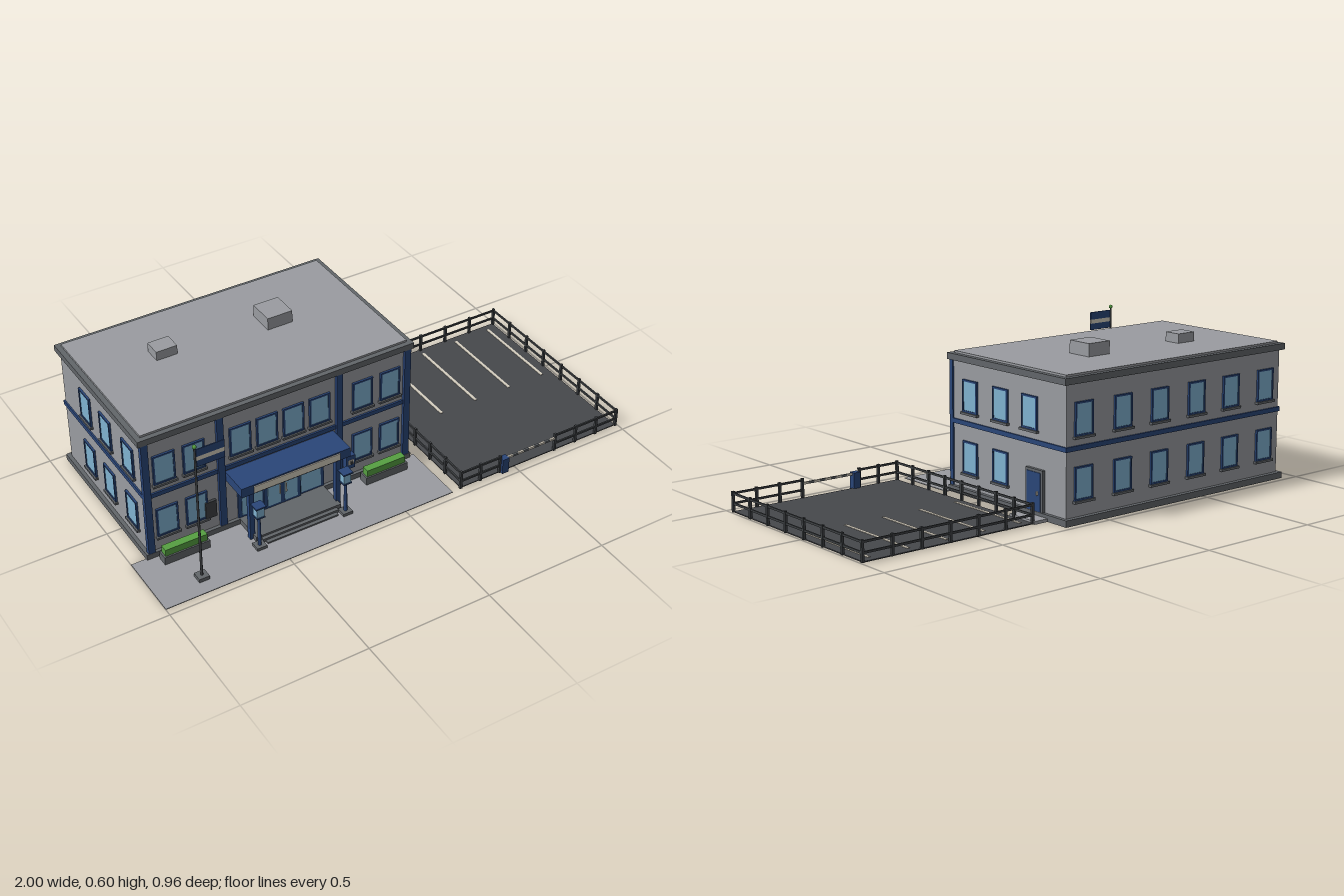
import * as THREE from 'three';

const mat = (name, color) => {
  const m = new THREE.MeshStandardMaterial({ color });
  m.name = name;
  return m;
};

export function createModel() {
  const wall = mat('wall grey', 0x9a9ca1);
  const trim = mat('trim grey', 0x62666a);
  const blue = mat('dark blue', 0x2a4679);
  const glass = mat('window blue', 0x80b3d1);
  const asphalt = mat('asphalt', 0x46484c);
  const iron = mat('iron grey', 0x3d4043);
  const green = mat('leaf green', 0x56a042);
  const cream = mat('cream', 0xd6cfc0);

  const model = new THREE.Group();
  model.name = 'officeBuilding';
  const add = (parent, name, geo, m, x = 0, y = 0, z = 0) => {
    const mesh = new THREE.Mesh(geo, m);
    mesh.name = name;
    mesh.position.set(x, y, z);
    parent.add(mesh);
    return mesh;
  };
  // Box given by its extents on each axis
  const box = (parent, name, m, x0, x1, y0, y1, z0, z1) =>
    add(parent, name, new THREE.BoxGeometry(x1 - x0, y1 - y0, z1 - z0), m,
      (x0 + x1) / 2, (y0 + y1) / 2, (z0 + z1) / 2);
  const rod = (parent, name, m, r0, r1, y0, y1, x, z, n = 12) =>
    add(parent, name, new THREE.CylinderGeometry(r1, r0, y1 - y0, n), m, x, (y0 + y1) / 2, z);
  const group = (name, parent = model) => {
    const g = new THREE.Group();
    g.name = name;
    parent.add(g);
    return g;
  };

  // Main block
  const b = group('building');
  box(b, 'plinth', trim, -0.94, 0.19, 0, 0.025, -0.477, 0.21);
  box(b, 'walls', wall, -0.925, 0.175, 0.025, 0.515, -0.459, 0.197);
  box(b, 'floorBand', blue, -0.931, 0.181, 0.27, 0.288, -0.465, 0.204);
  box(b, 'cornice', trim, -0.942, 0.192, 0.515, 0.54, -0.472, 0.21);
  box(b, 'roof', wall, -0.922, 0.172, 0.54, 0.548, -0.452, 0.19);
  box(b, 'roofUnit', wall, -0.67, -0.585, 0.548, 0.585, -0.245, -0.175);
  box(b, 'roofUnit', wall, -0.23, -0.125, 0.548, 0.598, -0.24, -0.133);
  for (const x of [-0.918, -0.6225, -0.1275, 0.168])
    box(b, 'pilaster', blue, x - 0.0135, x + 0.0135, 0.025, 0.515, 0.19, 0.209);

  // Windows: frame with an opening, pane and sill, in the plane of a facade
  const W = 0.087, H = 0.125;
  const rect = (S, w, h) => {
    const s = new S();
    s.moveTo(-w / 2, -h / 2).lineTo(w / 2, -h / 2).lineTo(w / 2, h / 2).lineTo(-w / 2, h / 2).closePath();
    return s;
  };
  const frameShape = rect(THREE.Shape, W, H);
  frameShape.holes.push(rect(THREE.Path, W - 0.014, H - 0.014));
  const frameGeo = new THREE.ExtrudeGeometry(frameShape, { depth: 0.008, bevelEnabled: false });
  const paneGeo = new THREE.BoxGeometry(W - 0.012, H - 0.012, 0.004);
  const sillGeo = new THREE.BoxGeometry(W + 0.01, 0.009, 0.014);
  const facade = (name, x, z, turn, lower, upper) => {
    const f = group(name);
    f.position.set(x, 0, z);
    f.rotation.y = turn;
    [[lower, 0.148], [upper, 0.385]].forEach(([list, y]) => list.forEach((u) => {
      const w = group('window', f);
      w.position.set(u, y, 0);
      add(w, 'windowFrame', frameGeo, blue);
      add(w, 'windowPane', paneGeo, glass, 0, 0, 0.003);
      add(w, 'windowSill', sillGeo, trim, 0, -H / 2 - 0.0045, 0.007);
    }));
  };
  const ends = [-0.845, -0.727, -0.025, 0.095];
  facade('frontWindows', 0, 0.197, 0, ends, [...ends, -0.54, -0.43, -0.32, -0.21]);
  const back = [-0.095, 0.095, 0.28, 0.47, 0.655, 0.845];
  facade('backWindows', 0, -0.459, Math.PI, back, back);
  facade('leftWindows', 0.175, 0, Math.PI / 2, [-0.087, 0.093], [-0.087, 0.093, 0.26]);
  const side = [0.087, -0.093, -0.26];
  facade('rightWindows', -0.925, 0, -Math.PI / 2, side, side);

  // Side door
  const d = group('sideDoor');
  box(d, 'sideDoorFrame', trim, 0.17, 0.188, 0.025, 0.182, -0.344, -0.249);
  box(d, 'sideDoorLeaf', blue, 0.18, 0.191, 0.027, 0.172, -0.334, -0.259);
  box(d, 'sideDoorHandle', cream, 0.19, 0.197, 0.088, 0.102, -0.323, -0.317);
  box(d, 'sideDoorStep', wall, 0.18, 0.25, 0, 0.012, -0.375, -0.232);

  // Forecourt and entrance steps
  box(model, 'forecourt', wall, -1, 0.21, 0, 0.003, 0.2, 0.47);
  const e = group('entrance');
  const cx = -0.3775;
  [[0.18, 0.025, 0.33], [0.16, 0.017, 0.345], [0.15, 0.009, 0.36]].forEach(([hw, y, z]) =>
    box(e, 'step', trim, cx - hw, cx + hw, 0, y, 0.2, z));

  // Glazed front with double doors
  box(e, 'entranceFrame', blue, -0.56, -0.195, 0.025, 0.215, 0.19, 0.203);
  for (const [x0, x1] of [[-0.545, -0.46], [-0.295, -0.21]])
    box(e, 'sideGlass', glass, x0, x1, 0.035, 0.17, 0.2, 0.206);
  box(e, 'transomGlass', glass, -0.545, -0.21, 0.184, 0.205, 0.2, 0.206);
  box(e, 'doorFrame', blue, -0.455, -0.3, 0.025, 0.176, 0.2, 0.21);
  for (const s of [-1, 1]) {
    const x = cx + s * 0.036;
    box(e, 'doorGlass', glass, x - 0.027, x + 0.027, 0.036, 0.166, 0.206, 0.213);
    box(e, 'doorHandle', cream, cx + s * 0.013 - 0.002, cx + s * 0.013 + 0.002, 0.08, 0.12, 0.212, 0.219);
  }

  // Canopy on columns, with a lamp post before each column
  box(e, 'canopy', blue, -0.605, -0.15, 0.222, 0.262, 0.197, 0.318);
  box(e, 'canopyPanel', cream, -0.555, -0.195, 0.227, 0.256, 0.316, 0.322);
  for (const x of [-0.56, -0.195]) {
    box(e, 'canopyColumn', blue, x - 0.01, x + 0.01, 0.003, 0.222, 0.287, 0.307);
    const l = group('lampPost', e);
    box(l, 'lampBase', trim, x - 0.02, x + 0.02, 0.003, 0.015, 0.337, 0.377);
    rod(l, 'lampStem', blue, 0.007, 0.006, 0.015, 0.15, x, 0.357);
    box(l, 'lampFoot', blue, x - 0.017, x + 0.017, 0.147, 0.153, 0.34, 0.374);
    box(l, 'lampGlass', glass, x - 0.015, x + 0.015, 0.153, 0.194, 0.342, 0.372);
    box(l, 'lampCap', blue, x - 0.021, x + 0.021, 0.194, 0.2, 0.336, 0.378);
  }

  // Wall board and call box
  box(model, 'noticeBoard', iron, -0.695, -0.65, 0.083, 0.157, 0.195, 0.208);
  const c = group('callBox');
  box(c, 'callBoxBody', blue, -0.106, -0.068, 0.073, 0.132, 0.195, 0.222);
  box(c, 'callBoxPanel', cream, -0.098, -0.076, 0.093, 0.113, 0.22, 0.225);
  box(c, 'callBoxButton', iron, -0.092, -0.082, 0.098, 0.108, 0.223, 0.231);

  // Planters
  for (const x of [-0.805, 0.0475]) {
    const p = group('planter');
    box(p, 'planterBox', trim, x - 0.092, x + 0.092, 0.003, 0.036, 0.223, 0.266);
    box(p, 'hedge', green, x - 0.085, x + 0.085, 0.036, 0.064, 0.228, 0.26);
  }

  // Flagpole
  const f = group('flagpole');
  const fx = -0.816, fz = 0.393;
  box(f, 'poleBase', trim, fx - 0.021, fx + 0.021, 0.003, 0.018, fz - 0.021, fz + 0.021);
  rod(f, 'pole', iron, 0.005, 0.004, 0.018, 0.59, fx, fz);
  add(f, 'poleBall', new THREE.SphereGeometry(0.008, 12, 8), green, fx, 0.593, fz);
  [[0.505, 0.532, blue], [0.532, 0.549, cream], [0.549, 0.58, blue]].forEach(([y0, y1, m]) =>
    box(f, 'flagStripe', m, fx + 0.005, -0.702, y0, y1, fz - 0.002, fz + 0.002));

  // Car park with bay lines
  const lot = group('carPark');
  const X0 = 0.25, X1 = 0.99, Z0 = -0.362, Z1 = 0.463;
  box(lot, 'carParkSurface', asphalt, X0, X1, 0, 0.004, Z0 - 0.003, Z1);
  for (let i = 0; i < 5; i++) {
    const x = 0.285 + i * 0.165;
    box(lot, 'bayLine', cream, x - 0.006, x + 0.006, 0.003, 0.006, -0.335, 0.045);
  }

  // Fence runs: evenly spaced posts and two rails
  const fence = (name, xa, za, xb, zb, n) => {
    const g = group(name, lot);
    for (let i = 0; i <= n; i++) {
      const x = xa + (xb - xa) * i / n, z = za + (zb - za) * i / n;
      box(g, 'fencePost', iron, x - 0.005, x + 0.005, 0, 0.08, z - 0.005, z + 0.005);
    }
    for (const y of [0.034, 0.072])
      box(g, 'fenceRail', iron, Math.min(xa, xb) - 0.003, Math.max(xa, xb) + 0.003,
        y - 0.004, y + 0.004, Math.min(za, zb) - 0.003, Math.max(za, zb) + 0.003);
  };
  fence('backFence', X0, Z0, X1, Z0, 6);
  fence('leftFence', X1, Z0, X1, Z1, 7);
  fence('rightFence', X0, Z0, X0, Z1, 8);
  fence('frontFenceNear', X0, Z1, 0.43, Z1, 2);
  fence('frontFenceFar', 0.69, Z1, X1, Z1, 3);

  // Striped barrier
  const g = group('barrier', lot);
  box(g, 'barrierBox', blue, 0.433, 0.463, 0, 0.066, 0.45, 0.478);
  for (let i = 0; i < 9; i++)
    box(g, 'barrierStripe', i % 2 ? trim : cream, 0.463 + i * 0.025, 0.488 + i * 0.025, 0.055, 0.064, 0.46, 0.468);

  return model;
}
